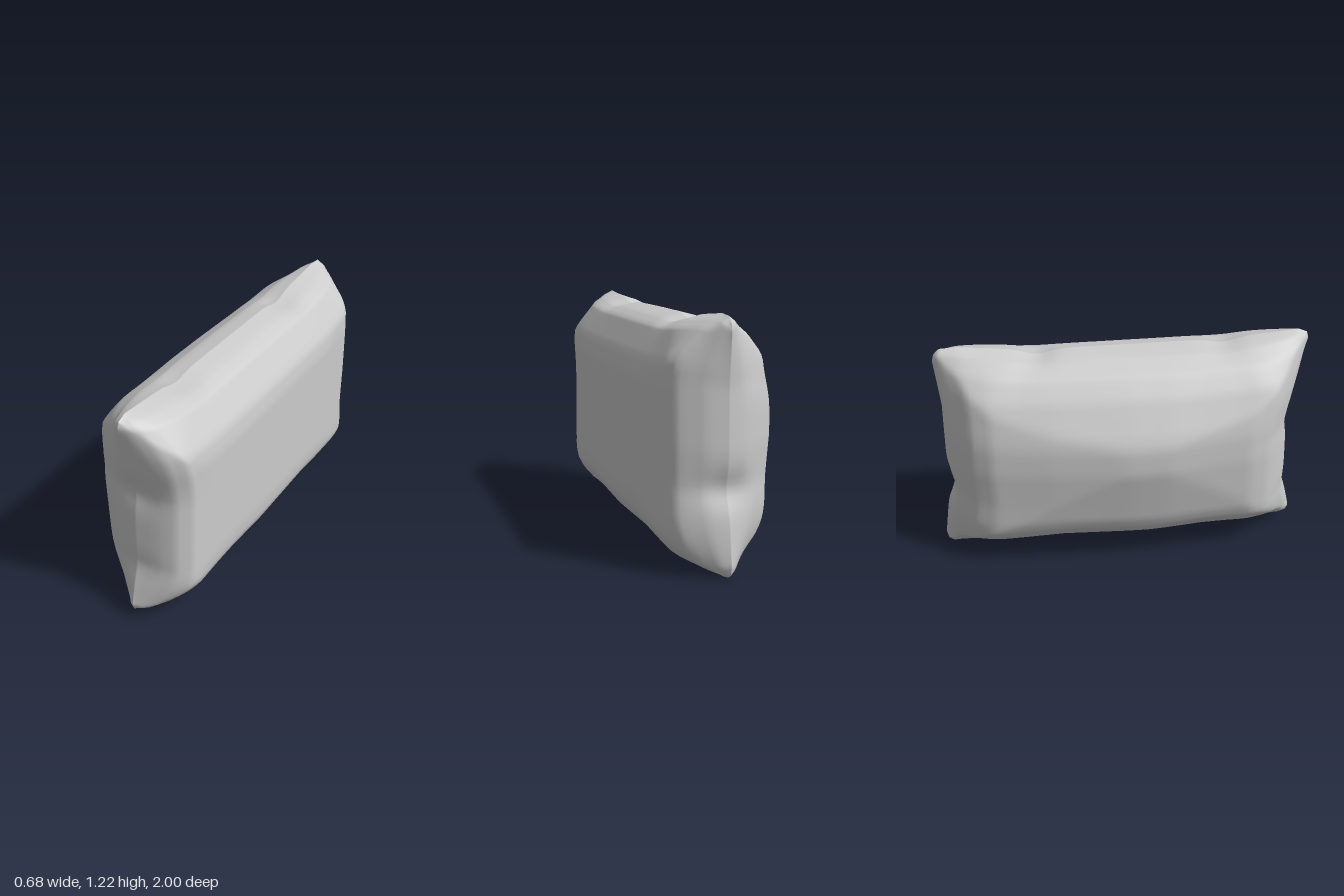
import * as THREE from 'three';
import { mergeVertices, mergeGeometries } from 'three/addons/utils/BufferGeometryUtils.js';

// Piecewise interpolation through [position, value] pairs
function sample(table, p) {
  if (p <= table[0][0]) return table[0][1];
  for (let i = 1; i < table.length; i++) {
    const [p0, v0] = table[i - 1], [p1, v1] = table[i];
    if (p <= p1) return v0 + (v1 - v0) * (p - p0) / (p1 - p0);
  }
  return table[table.length - 1][1];
}

// Seam outline: s runs back to front, t runs bottom to top
const topEdge = [[0, 1.18], [0.015, 1.21], [0.06, 1.215], [0.22, 1.185], [0.35, 1.18], [0.71, 1.185],
  [0.8, 1.19], [0.975, 1.22], [1, 1.2]];
const bottomEdge = [[0, 0.02], [0.015, 0], [0.33, 0.045], [0.57, 0.035], [0.72, 0.055],
  [0.8, 0.055], [0.975, 0.035], [1, 0.05]];
const frontEdge = [[0, 0.97], [0.03, 0.985], [0.2, 0.94], [0.24, 0.93], [0.5, 0.915], [0.6, 0.91],
  [0.67, 0.92], [0.97, 1], [1, 0.99]];
const backEdge = [[0, -0.99], [0.04, -1], [0.25, -0.965], [0.34, -0.95], [0.5, -0.955], [0.75, -0.95],
  [0.97, -0.975], [1, -0.965]];

// Bulge of each side along the height (t) and the length (s); reach is how far corners taper
const sides = {
  flatSide: {
    sign: 1, depth: 0.28, reach: 0.36,
    alongT: [[0, 0], [0.008, 0.3], [0.02, 0.5], [0.05, 0.72], [0.1, 0.88], [0.15, 0.97], [0.22, 1], [0.74, 1],
      [0.82, 0.95], [0.95, 0.6], [0.98, 0.36], [1, 0]],
    alongS: [[0, 0], [0.01, 0.35], [0.043, 0.82], [0.08, 0.94], [0.24, 1], [0.88, 1], [0.945, 0.96],
      [0.98, 0.72], [0.993, 0.4], [1, 0]],
  },
  bulgedSide: {
    sign: -1, depth: 0.405, reach: 0.45,
    alongT: [[0, 0], [0.02, 0.2], [0.1, 0.59], [0.17, 0.77], [0.23, 0.84], [0.51, 1], [0.63, 0.99],
      [0.68, 0.94], [0.84, 0.7], [0.92, 0.52], [0.98, 0.25], [1, 0]],
    alongS: [[0, 0], [0.01, 0.22], [0.027, 0.36], [0.08, 0.65], [0.135, 0.78], [0.3, 0.9], [0.51, 1],
      [0.62, 1], [0.86, 0.85], [0.914, 0.74], [0.94, 0.62], [0.98, 0.36], [0.993, 0.2], [1, 0]],
  },
};

// Small pinches in the seam: s, t, shift in z, shift in y
const pinches = [[1, 0.6, -0.018, 0], [1, 0.22, -0.008, 0], [0, 0.34, 0.03, 0],
  [0.765, 1, 0, -0.022], [0.27, 1, 0, -0.03], [0.765, 0, 0, 0.025]];

const NS = 72, NT = 56;
const ease = (k) => (1 - Math.cos(Math.PI * k)) / 2; // packs rows towards the seam

function buildSide({ sign, depth, reach, alongT, alongS }) {
  const positions = [], index = [];
  for (let j = 0; j <= NT; j++) {
    for (let i = 0; i <= NS; i++) {
      const s = ease(i / NS), t = ease(j / NT);
      let z = THREE.MathUtils.lerp(sample(backEdge, t), sample(frontEdge, t), s);
      let y = THREE.MathUtils.lerp(sample(bottomEdge, s), sample(topEdge, s), t);
      // Corners taper to blunt tips
      const a = Math.min(s, 1 - s) * 1.86, b = Math.min(t, 1 - t) * 1.15;
      const corner = 0.3 + 0.7 * Math.sin(Math.min(1, (a + b) / reach) * Math.PI / 2);
      const ft = sample(alongT, t), fs = sample(alongS, s);
      const h = depth * corner * (0.5 * ft * fs + 0.5 * Math.min(ft, fs));
      for (const [ps, pt, dz, dy] of pinches) {
        const d = Math.hypot((s - ps) * 1.86, (t - pt) * 1.15, h * 0.6) / 0.08;
        z += dz * Math.exp(-d * d);
        y += dy * Math.exp(-d * d);
      }
      positions.push(0.06 + sign * h, y, z);
      if (i < NS && j < NT) {
        const p = j * (NS + 1) + i, q = p + 1, r = p + NS + 1, w = r + 1;
        if (sign < 0) index.push(p, q, w, p, w, r);
        else index.push(p, w, q, p, r, w);
      }
    }
  }
  const g = new THREE.BufferGeometry();
  g.setAttribute('position', new THREE.Float32BufferAttribute(positions, 3));
  g.setIndex(index);
  return g;
}

export function createModel() {
  const group = new THREE.Group();
  group.name = 'pillow';
  // Both sides are welded along the seam and smoothed
  const geometry = mergeVertices(mergeGeometries(Object.values(sides).map(buildSide)), 1e-4);
  geometry.computeVertexNormals();
  const cushion = new THREE.Mesh(geometry, new THREE.MeshStandardMaterial({ color: 0xcccccc, roughness: 0.8 }));
  cushion.name = 'cushion';
  group.add(cushion);
  return group;
}
